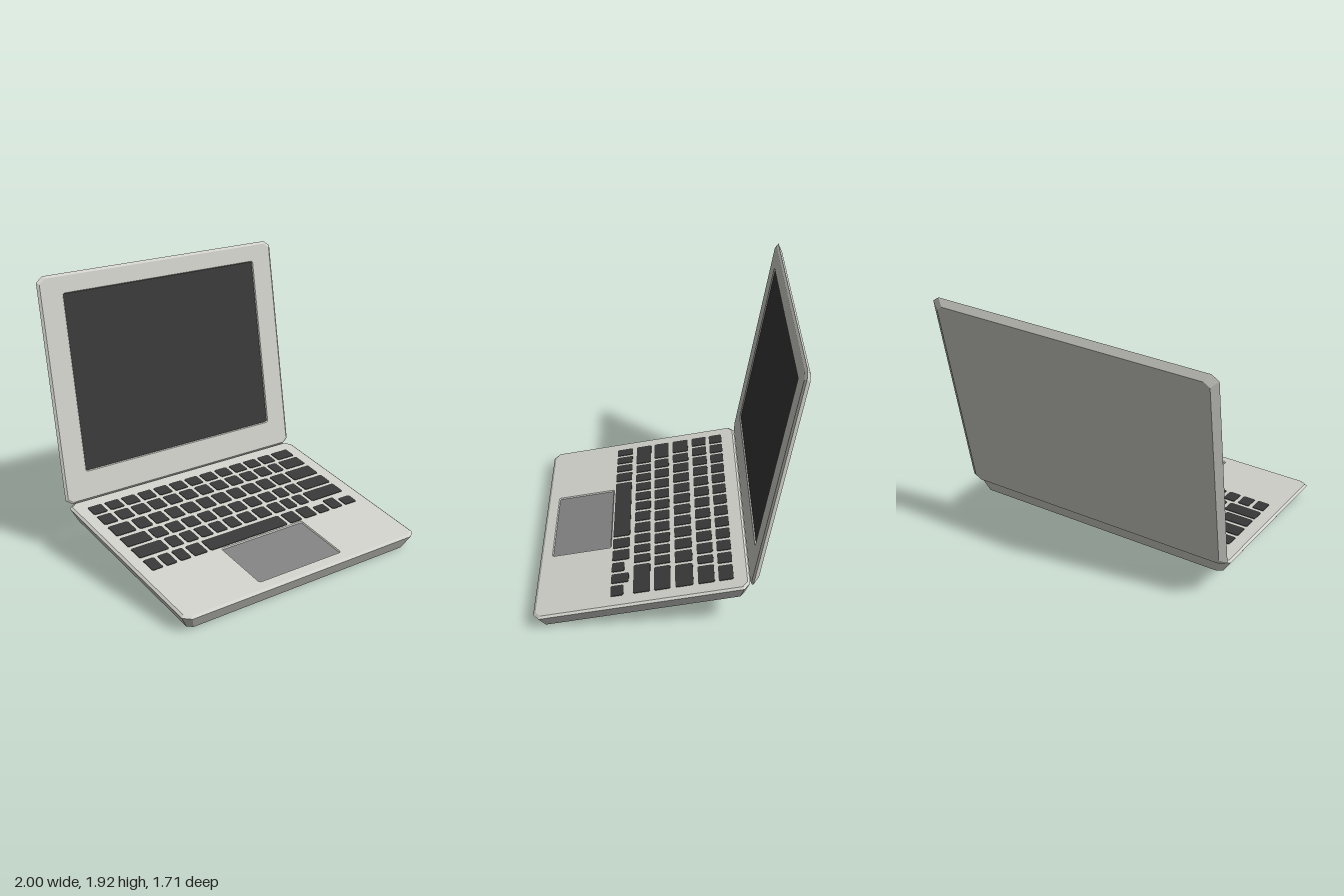
import * as THREE from 'three';
import { mergeGeometries } from 'three/addons/utils/BufferGeometryUtils.js';

// Rectangle with cut corners, counter-clockwise in the panel plane (x, v), at height h
function ring(halfW, v0, v1, cut, h) {
  const cutV = cut * 0.75;
  return [
    [-halfW + cut, v0], [halfW - cut, v0], [halfW, v0 + cutV], [halfW, v1 - cutV],
    [halfW - cut, v1], [-halfW + cut, v1], [-halfW, v1 - cutV], [-halfW, v0 + cutV],
  ].map(([x, v]) => new THREE.Vector3(x, v, h));
}

// Walls joining rings listed from front to back
function loft(rings) {
  const pts = [];
  for (let r = 0; r < rings.length - 1; r++) {
    const front = rings[r], back = rings[r + 1];
    front.forEach((a, i) => {
      const j = (i + 1) % front.length;
      pts.push(back[i], back[j], front[j], back[i], front[j], a);
    });
  }
  const g = new THREE.BufferGeometry().setFromPoints(pts);
  g.computeVertexNormals();
  return g;
}

// Flat face filling a ring, optionally with a hole or turned to the back
function cap(outline, hole, flip = false) {
  const to2 = (p) => new THREE.Vector2(p.x, p.y);
  const shape = new THREE.Shape(outline.map(to2));
  if (hole) shape.holes.push(new THREE.Path(hole.map(to2)));
  const g = new THREE.ShapeGeometry(shape).toNonIndexed();
  g.deleteAttribute('uv');
  if (flip) g.rotateY(Math.PI); // outlines are symmetric in x
  g.translate(0, 0, outline[0].z);
  return g;
}

// Bevelled slab with a shallow recess holding an inset plate
function panel(name, rings, recess, plateName, shellMat, plateMat) {
  const { halfW, v0, v1 } = recess;
  const h = rings[0][0].z;
  const lip = ring(halfW, v0, v1, 0.012, h);
  const floor = ring(halfW - 0.006, v0 + 0.006, v1 - 0.006, 0.01, h - 0.008);
  const shell = new THREE.Mesh(mergeGeometries([
    loft(rings),
    cap(rings[0], lip),
    cap(rings[rings.length - 1], null, true),
    loft([floor, lip]),
  ]), shellMat);
  shell.name = name + 'Shell';
  const plate = new THREE.Mesh(cap(floor), plateMat);
  plate.name = plateName;
  const group = new THREE.Group();
  group.name = name;
  group.add(shell, plate);
  return group;
}

// Key rows: near and far edge, then runs of [count, width]
const KEY_ROWS = [
  { z: [0.102, 0.2], runs: [[12, 0.1364], [1, 0.181]] },
  { z: [0.227, 0.336], runs: [[11, 0.1364], [1, 0.11], [1, 0.208]] },
  { z: [0.368, 0.488], runs: [[1, 0.187], [9, 0.136], [1, 0.15], [1, 0.257]] },
  { z: [0.52, 0.629], runs: [[1, 0.225], [8, 0.1357], [2, 0.119], [1, 0.27]] },
  { z: [0.657, 0.771], runs: [[1, 0.262], [5, 0.123], [2, 0.136], [1, 0.123], [2, 0.111], [1, 0.323]] },
  {
    z: [0.803, 0.923], short: [7, 9],
    runs: [[3, 0.1123], [1, 0.134], [1, 0.695], [1, 0.134], [1, 0.139], [2, 0.123], [1, 0.133]],
  },
];

function keyboard(mat) {
  const group = new THREE.Group();
  group.name = 'keyboard';
  const gap = 0.027, height = 0.004;
  for (const { z, runs, short = [] } of KEY_ROWS) {
    let x = -0.912, index = 0;
    for (const [count, width] of runs) {
      for (let i = 0; i < count; i++, index++, x += width) {
        const near = short.includes(index) ? z[0] + 0.033 : z[0];
        const halfW = (width - gap) / 2, halfD = (z[1] - near) / 2;
        const top = ring(halfW, -halfD, halfD, 0.01, height);
        const base = ring(halfW, -halfD, halfD, 0.01, 0);
        const key = new THREE.Mesh(mergeGeometries([cap(top), loft([top, base])]), mat);
        key.position.set(x + width / 2, -(near + z[1]) / 2, 0);
        key.name = 'key';
        group.add(key);
      }
    }
  }
  return group;
}

export function createModel() {
  const material = (name, color) => {
    const m = new THREE.MeshStandardMaterial({ color });
    m.name = name;
    return m;
  };
  const shellMat = material('warm light grey', 0xd0d0ca);
  const darkMat = material('charcoal', 0x383838);
  const padMat = material('mid grey', 0x828282);

  const model = new THREE.Group();
  model.name = 'laptop';

  // Base, sloping down towards the front
  const base = panel('base', [
    ring(0.983, -1.424, -0.014, 0.045, 0),
    ring(1, -1.442, 0, 0.053, -0.012),
    ring(0.94, -1.407, -0.05, 0.037, -0.113),
  ], { halfW: 0.356, v0: -1.357, v1: -0.935 }, 'trackpad', shellMat, padMat);
  base.add(keyboard(darkMat));
  base.position.set(0, 0.366, -0.56);
  base.rotation.x = THREE.MathUtils.degToRad(10.4 - 90);

  // Lid, leaning back
  const lid = panel('lid', [
    ring(0.983, 0.014, 1.576, 0.045, 0.015),
    ring(1, 0, 1.594, 0.05, 0.003),
    ring(0.955, 0.04, 1.55, 0.04, -0.03),
  ], { halfW: 0.818, v0: 0.206, v1: 1.461 }, 'screen', shellMat, darkMat);
  lid.position.set(0, 0.35, -0.575);
  lid.rotation.x = THREE.MathUtils.degToRad(-9.4);

  model.add(base, lid);
  return model;
}
